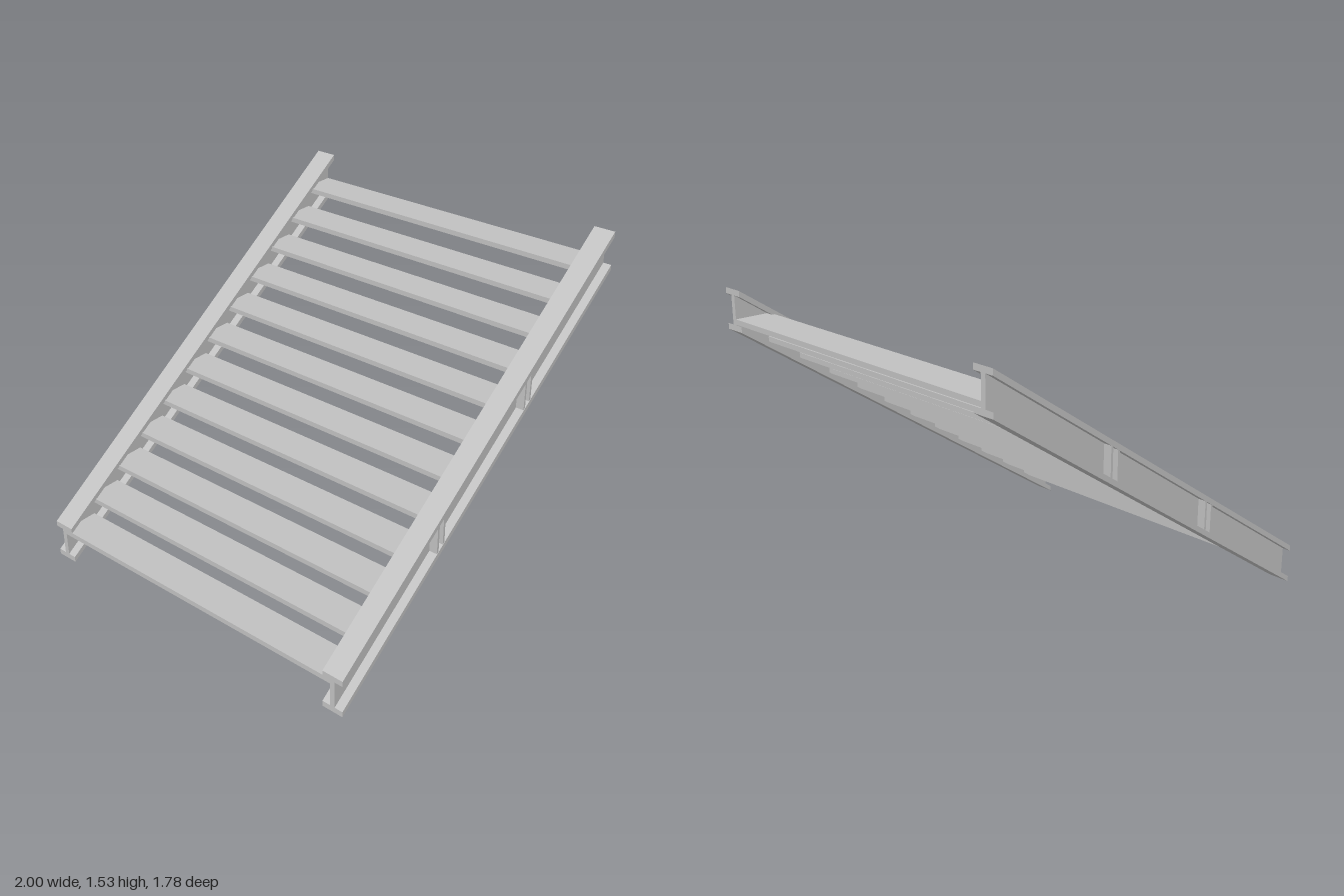
import * as THREE from 'three';

const SLOPE = 1.335 / 2;      // rise per unit of x
const BEAM_HEIGHT = 0.195;    // measured vertically
const FLANGE = 0.028;
const TREADS = 12;

const steel = new THREE.MeshStandardMaterial({ color: 0xc0c0c0 });
steel.name = 'steel';

// Plumb-cut bar following the stair slope; low and high are heights above the beam's underside
function slopedBar(name, x0, x1, low, high, z, depth) {
  const y = (x) => (x + 1) * SLOPE;
  const shape = new THREE.Shape([
    new THREE.Vector2(x0, y(x0) + low),
    new THREE.Vector2(x1, y(x1) + low),
    new THREE.Vector2(x1, y(x1) + high),
    new THREE.Vector2(x0, y(x0) + high),
  ]);
  const geometry = new THREE.ExtrudeGeometry(shape, { depth, bevelEnabled: false });
  geometry.translate(0, 0, z - depth / 2);
  const mesh = new THREE.Mesh(geometry, steel);
  mesh.name = name;
  return mesh;
}

// I-section side beam with paired stiffener plates on its outer face
function stringer(name, side) {
  const group = new THREE.Group();
  group.name = name;
  const z = side * 0.837;
  const top = BEAM_HEIGHT - FLANGE;
  group.add(
    slopedBar('bottomFlange', -1, 1, 0, FLANGE, z, 0.108),
    slopedBar('topFlange', -1, 1, top, BEAM_HEIGHT, z, 0.108),
    slopedBar('web', -1, 1, FLANGE, top, z, 0.024),
  );
  for (const centre of [-0.321, 0.323]) {
    for (const offset of [-0.021, 0.021]) {
      const x = centre + offset;
      group.add(slopedBar('stiffener', x - 0.006, x + 0.006, FLANGE, top, side * 0.869, 0.04));
    }
  }
  return group;
}

export function createModel() {
  const model = new THREE.Group();
  model.name = 'staircase';
  model.add(stringer('frontStringer', 1), stringer('backStringer', -1));

  // Open treads spanning between the two webs, slightly overlapping in plan
  const width = 0.18;
  const run = (2 - width) / (TREADS - 1);
  const treadGeometry = new THREE.BoxGeometry(width, 0.025, 1.65);
  for (let i = 0; i < TREADS; i++) {
    const tread = new THREE.Mesh(treadGeometry, steel);
    tread.name = 'tread';
    tread.position.set(-1 + width / 2 + i * run, 0.16 + i * 0.1108, 0);
    model.add(tread);
  }
  return model;
}
